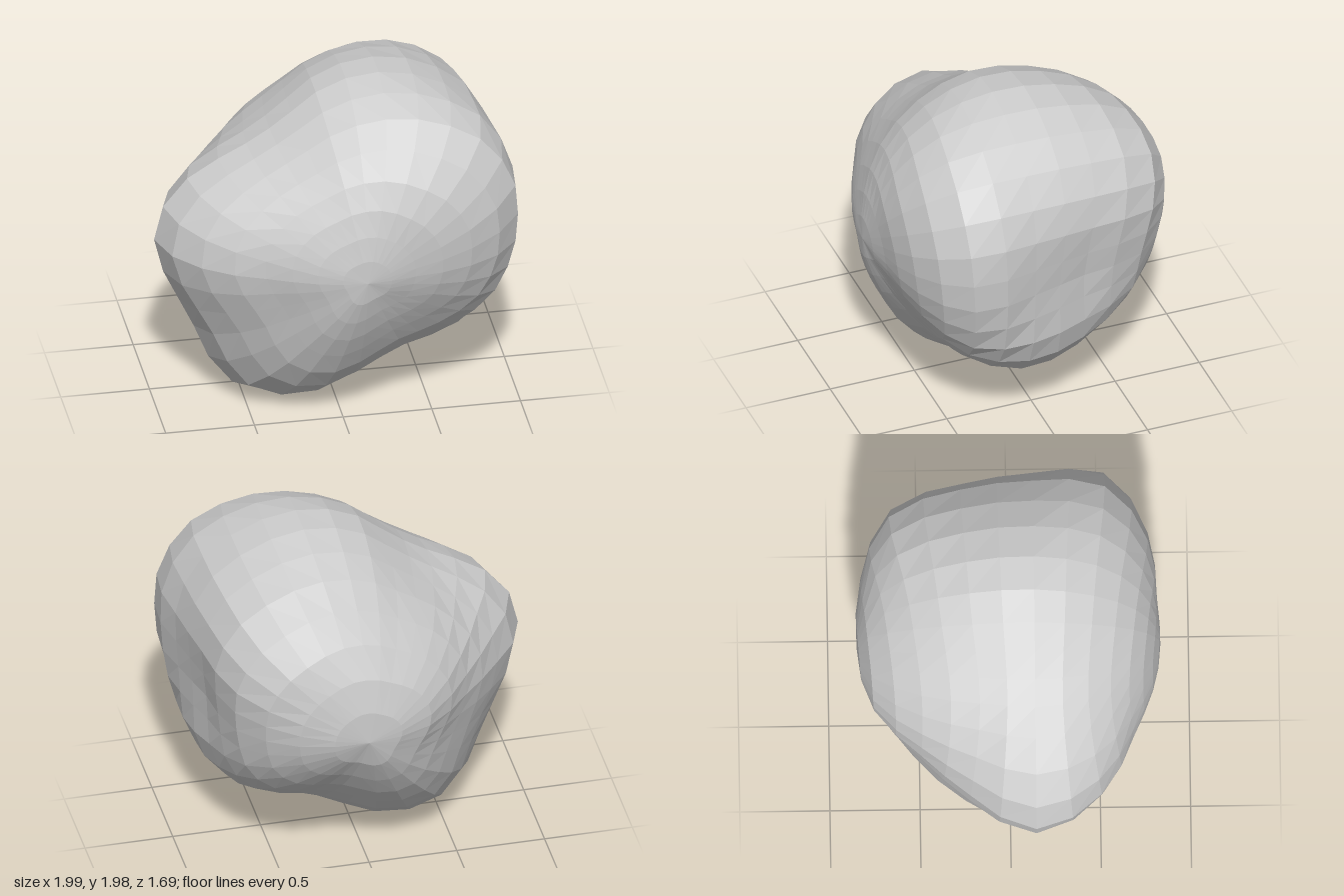
import * as THREE from 'three';

const COLS = 32, ROWS = 16;
const CENTRE = new THREE.Vector3(0.08, 1.05, 0.14);

// Outline radius around the z axis, counter-clockwise from +x
const outline = [
  0.90, 0.93, 0.98, 1.01, 1.02, 1.00, 0.985, 0.96,
  0.92, 0.865, 0.80, 0.775, 0.795, 0.865, 0.968, 1.05,
  1.08, 1.05, 1.02, 1.03, 1.096, 1.148, 1.12, 1.037,
  0.92, 0.843, 0.825, 0.863, 0.905, 0.915, 0.897, 0.89,
];

// Distance from the centre along eight meridians, front pole to back pole
const meridians = [
  [0.70, 0.72, 0.85, 0.97, 0.86, 0.84, 0.98, 1.01, 0.985],
  [0.70, 0.74, 0.90, 1.05, 1.01, 1.04, 1.13, 1.04, 0.985],
  [0.70, 0.73, 0.80, 0.87, 0.92, 0.94, 0.98, 1.01, 0.985],
  [0.70, 0.71, 0.74, 0.77, 0.79, 0.80, 0.89, 0.98, 0.985],
  [0.70, 0.71, 0.77, 0.95, 1.08, 0.95, 0.90, 0.965, 0.985],
  [0.70, 0.70, 0.75, 0.91, 1.10, 1.02, 0.95, 0.945, 0.985],
  [0.70, 0.69, 0.73, 0.84, 0.92, 0.89, 0.85, 0.89, 0.985],
  [0.70, 0.67, 0.71, 0.82, 0.905, 0.91, 0.91, 0.93, 0.985],
];

// Smooth curve through evenly spaced values
function cubic(get, t) {
  const i = Math.floor(t), f = t - i;
  const [a, b, c, d] = [get(i - 1), get(i), get(i + 1), get(i + 2)];
  return b + 0.5 * f * (c - a + f * (2 * a - 5 * b + 4 * c - d + f * (3 * (b - c) + d - a)));
}

function distance(col, theta) {
  const along = (m) => cubic((k) => m[Math.min(8, Math.max(0, k))], (theta / Math.PI) * 8);
  return cubic((k) => along(meridians[(k + 16) % 8]), col / 4);
}

function createRockGeometry() {
  const geo = new THREE.SphereGeometry(1, COLS, ROWS).rotateX(Math.PI / 2);

  // Widening factor that makes each column reach the outline
  const widen = outline.map((radius, col) => {
    let widest = 0;
    for (let j = 0; j <= ROWS; j++) {
      const theta = (j / ROWS) * Math.PI;
      widest = Math.max(widest, distance(col, theta) * Math.sin(theta));
    }
    return radius / widest;
  });

  const pos = geo.attributes.position;
  for (let i = 0; i < pos.count; i++) {
    const phi = Math.atan2(pos.getY(i), pos.getX(i));
    const theta = Math.acos(THREE.MathUtils.clamp(pos.getZ(i), -1, 1));
    const col = (Math.round((phi / (2 * Math.PI)) * COLS) + COLS) % COLS;
    const angle = (col / COLS) * 2 * Math.PI;
    const r = distance(col, theta);
    const s = r * Math.sin(theta) * widen[col];
    pos.setXYZ(i, s * Math.cos(angle), s * Math.sin(angle), r * Math.cos(theta));
  }
  geo.translate(CENTRE.x, CENTRE.y, CENTRE.z);

  // Separate faces give the faceted look; rest the rock on the ground
  const flat = geo.toNonIndexed();
  flat.computeVertexNormals();
  flat.computeBoundingBox();
  flat.translate(0, -flat.boundingBox.min.y, 0);
  return flat;
}

export function createModel() {
  const stone = new THREE.MeshStandardMaterial({ color: 0xcccccc });
  stone.name = 'pale grey stone';
  const rock = new THREE.Mesh(createRockGeometry(), stone);
  rock.name = 'rock';
  const group = new THREE.Group();
  group.name = 'boulder';
  group.add(rock);
  return group;
}
